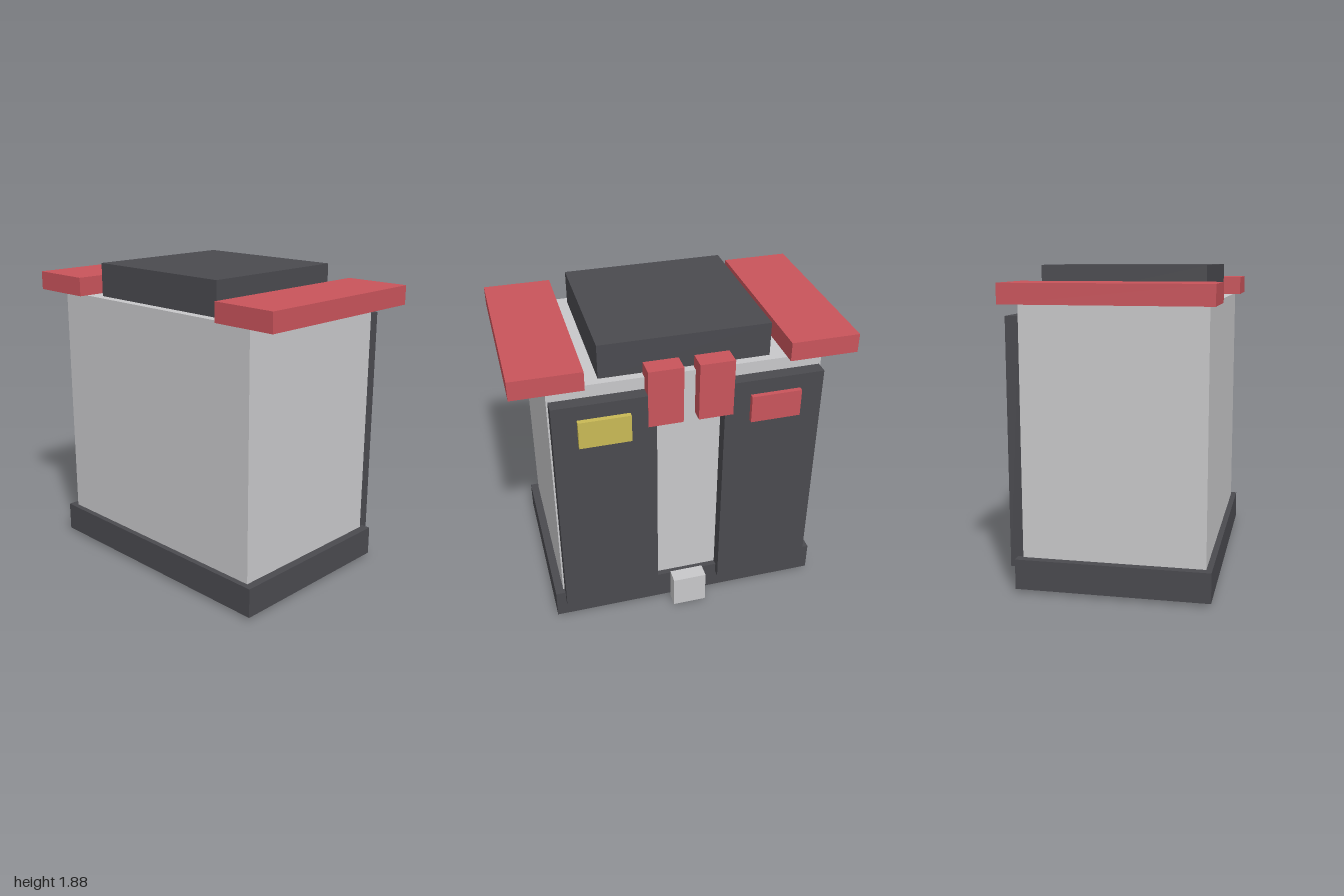
import * as THREE from 'three';

const material = (name, color) => {
  const m = new THREE.MeshStandardMaterial({ color });
  m.name = name;
  return m;
};

export function createModel() {
  const group = new THREE.Group();
  const grey = material('light grey', 0xc8c8ca);
  const dark = material('charcoal', 0x4a4a4f);
  const red = material('red', 0xc9545b);
  const yellow = material('yellow', 0xc9b955);

  // Box given by its extents along each axis
  const box = (name, mat, [x0, x1], [y0, y1], [z0, z1]) => {
    const mesh = new THREE.Mesh(new THREE.BoxGeometry(x1 - x0, y1 - y0, z1 - z0), mat);
    mesh.position.set((x0 + x1) / 2, (y0 + y1) / 2, (z0 + z1) / 2);
    mesh.name = name;
    group.add(mesh);
  };

  // Central stack
  box('base', dark, [-0.85, 0.85], [0.02, 0.2], [-0.535, 0.61]);
  box('body', grey, [-0.8, 0.8], [0.2, 1.68], [-0.5, 0.575]);
  box('lid', dark, [-0.5, 0.5], [1.68, 1.885], [-0.45, 0.52]);
  box('rearLatch', grey, [-0.105, 0.105], [0, 0.21], [-0.625, -0.535]);

  // Mirrored parts
  for (const [side, s] of [['left', 1], ['right', -1]]) {
    const span = (a, b) => (s > 0 ? [a, b] : [-b, -a]);
    box(side + 'ShoulderPlate', red, span(0.59, 1), [1.68, 1.795], [-0.55, 0.625]);
    box(side + 'RearPanel', dark, span(0.2, 0.79), [0.135, 1.605], [-0.58, -0.5]);
    box(side + 'Clamp', red, span(0.045, 0.25), [1.4, 1.755], [-0.581, -0.465]);
    box(side + 'Badge', s > 0 ? yellow : red, span(0.35, 0.65), [1.345, 1.515], [-0.61, -0.58]);
  }
  return group;
}
